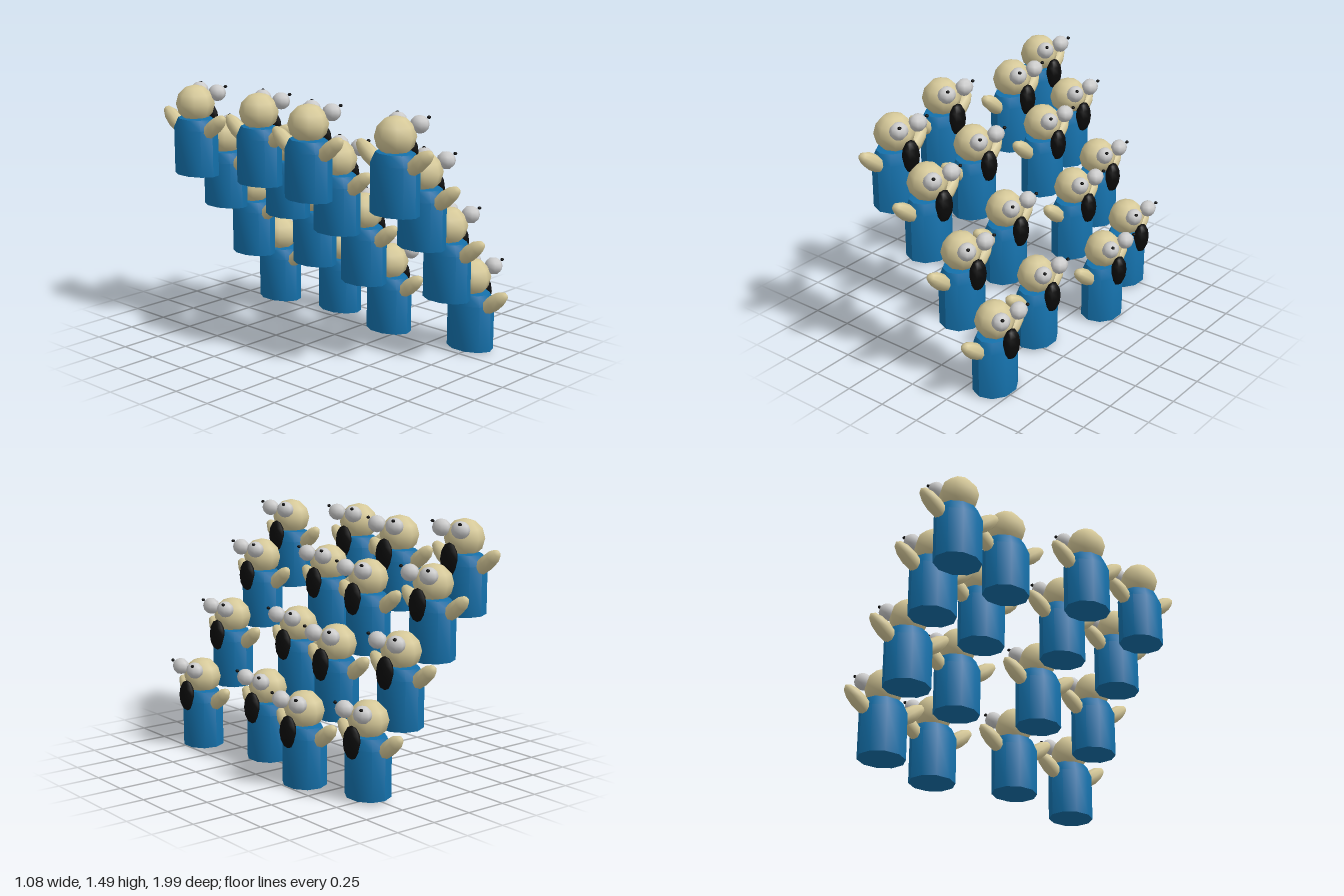
import * as THREE from 'three';
import { toCreasedNormals } from 'three/addons/utils/BufferGeometryUtils.js';

const paint = (color) => new THREE.MeshStandardMaterial({ color });
const blue = paint(0x1470aa), tan = paint(0xd6c999), black = paint(0x0a0a0a), grey = paint(0xcccccc);

function ellipsoid(name, material, radii, position, segments = 8, rings = 6) {
  const mesh = new THREE.Mesh(new THREE.SphereGeometry(1, segments, rings), material);
  mesh.name = name;
  mesh.scale.set(...radii);
  mesh.position.set(...position);
  return mesh;
}

// Oval robe with a chamfered shoulder and a hem that dips towards the front
function bodyGeometry() {
  const profile = [[0, 0], [1, 0], [1, 0.29], [0.8, 0.35], [0, 0.37]].map((p) => new THREE.Vector2(...p));
  const geometry = new THREE.LatheGeometry(profile, 10);
  geometry.scale(0.118, 1, 0.145);
  const pos = geometry.attributes.position;
  for (let i = 0; i < pos.count; i++) {
    if (pos.getY(i) < 0.1) pos.setY(i, 0.01 - 0.06 * pos.getX(i));
  }
  return toCreasedNormals(geometry, 0.75);
}

// One choir member, facing +x
function createSinger() {
  const singer = new THREE.Group();
  const body = new THREE.Mesh(bodyGeometry(), blue);
  body.name = 'body';
  singer.add(body);
  singer.add(ellipsoid('head', tan, [0.115, 0.113, 0.115], [0, 0.435, 0]));
  singer.add(ellipsoid('beard', black, [0.04, 0.095, 0.06], [0.115, 0.325, 0]));

  for (const side of [-1, 1]) {
    const label = side < 0 ? 'left' : 'right';
    singer.add(ellipsoid(label + 'Eye', grey, [0.05, 0.05, 0.056], [0.105, 0.495, side * 0.077]));
    singer.add(ellipsoid(label + 'Pupil', black, [0.011, 0.009, 0.011], [0.142, 0.532, side * 0.11]));
    // Raised arm, tilted outwards and up
    const arm = ellipsoid(label + 'Arm', tan, [0.047, 0.115, 0.047], [-0.01, 0.315, side * 0.17]);
    arm.rotation.x = side * THREE.MathUtils.degToRad(52);
    singer.add(arm);
  }
  return singer;
}

export function createModel() {
  const model = new THREE.Group();
  model.name = 'choir';
  const singer = createSinger();

  // Four files across z, alternately set back, on four rising tiers
  const files = [0.73, 0.2, -0.31, -0.73];
  const tiers = [0, 0.351, 0.7, 0.931];
  files.forEach((z, file) => {
    const back = file % 2;
    tiers.forEach((y, tier) => {
      const copy = singer.clone();
      copy.name = `singer${file * 4 + tier + 1}`;
      copy.position.set(0.38 - 0.23 * tier - 0.115 * back, y + 0.013 * back, z);
      model.add(copy);
    });
  });
  return model;
}
